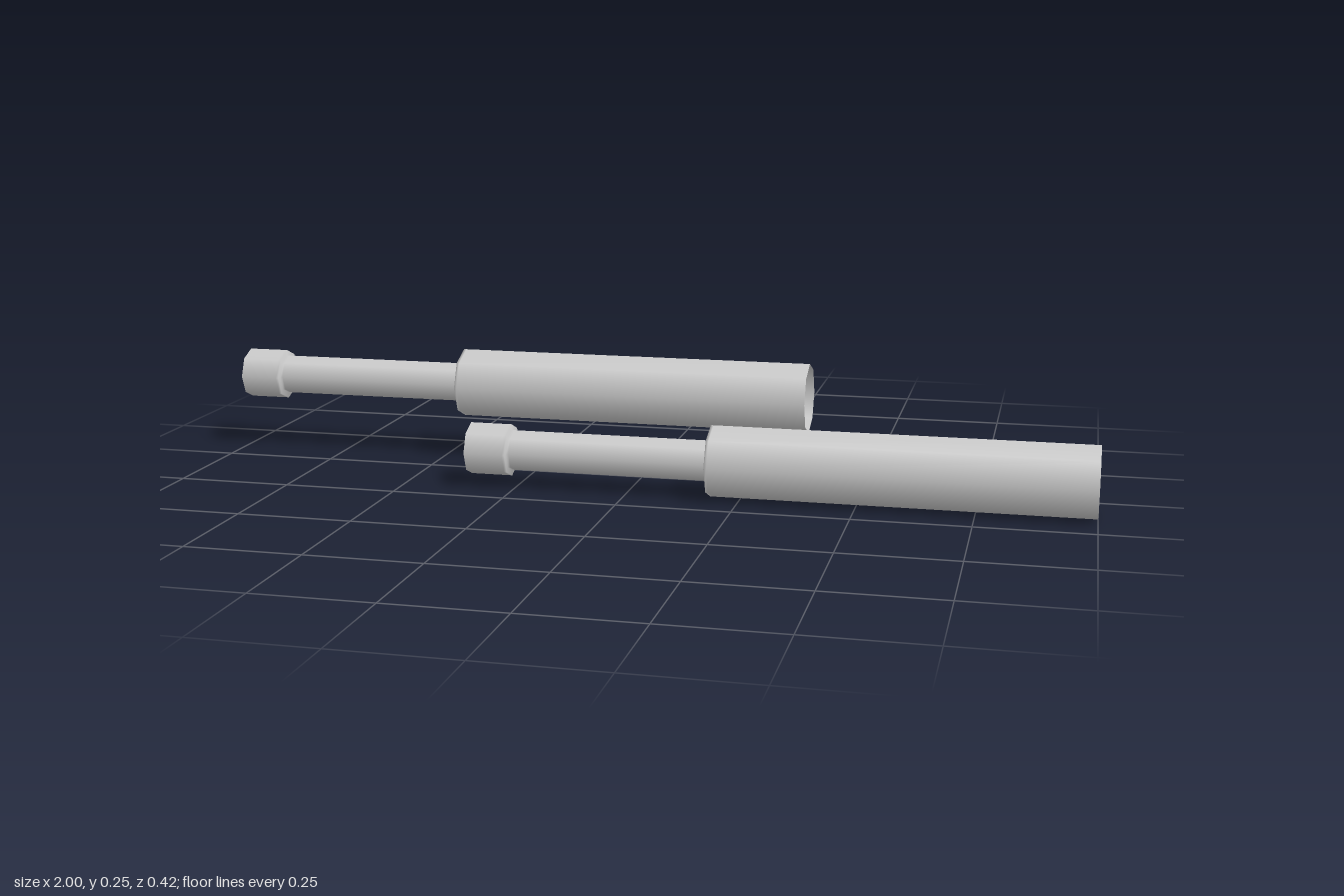
import * as THREE from 'three';

const HEAD = 0.058, ROD = 0.045, BARREL = 0.079;

// Open eight-sided stepped sleeve; profile is [radius, position along the axis].
// Support rings beside each step keep the long walls evenly shaded.
function sleeveGeometry() {
  const s = 0.006;
  const profile = [
    [HEAD, 0], [HEAD, 0.093 - s], [HEAD, 0.093],
    [ROD, 0.093], [ROD, 0.093 + s], [ROD, 0.54 - s], [ROD, 0.54],
    [BARREL, 0.54], [BARREL, 0.54 + s], [BARREL, 1.357],
  ].map(([r, h]) => new THREE.Vector2(r, h));
  const geometry = new THREE.LatheGeometry(profile, 8);
  geometry.rotateZ(-Math.PI / 2); // lay the axis along +x
  return geometry;
}

export function createModel() {
  const model = new THREE.Group();
  model.name = 'steppedTubes';
  const material = new THREE.MeshStandardMaterial({ color: 0xcccccc, side: THREE.DoubleSide });
  const geometry = sleeveGeometry();

  // Two identical tubes, staggered in length, height and depth
  const tubes = [
    ['rearTube', -1, 0.173, -0.132],
    ['frontTube', -0.357, 0.081, 0.133],
  ];
  for (const [name, x, y, z] of tubes) {
    const tube = new THREE.Mesh(geometry, material);
    tube.name = name;
    tube.position.set(x, y, z);
    model.add(tube);
  }
  return model;
}
